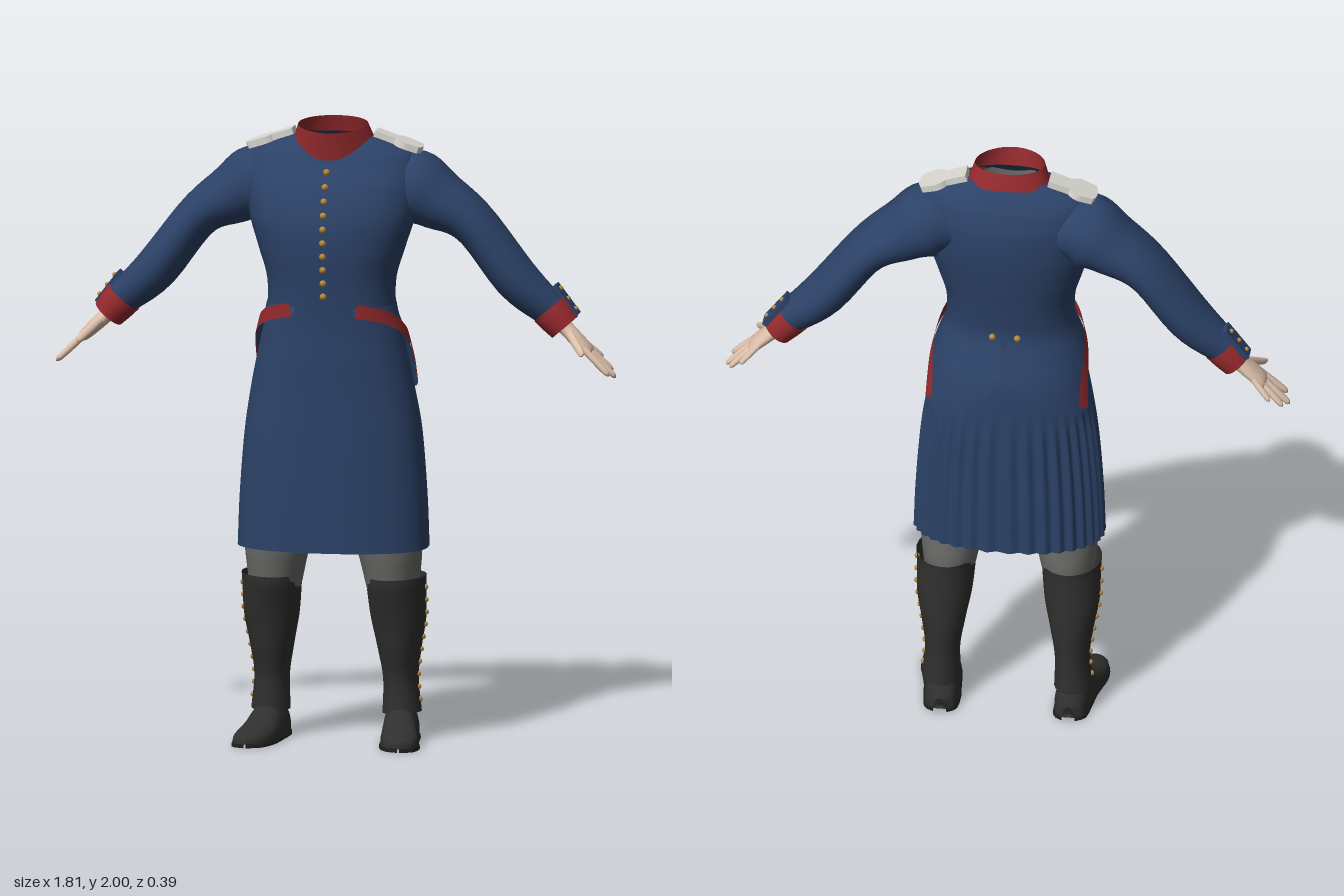
import * as THREE from 'three';
import { mergeVertices } from 'three/addons/utils/BufferGeometryUtils.js';
import { ParametricGeometry } from 'three/addons/geometries/ParametricGeometry.js';

const PI = Math.PI;
const paint = (name, color, side = THREE.FrontSide) => {
  const m = new THREE.MeshStandardMaterial({ color, side });
  m.name = name;
  return m;
};

// Smooth interpolation of column c in rows whose first column is the parameter
function sample(rows, t, c) {
  const n = rows.length - 1;
  if (t <= rows[0][0]) return rows[0][c];
  if (t >= rows[n][0]) return rows[n][c];
  let i = 0;
  while (t > rows[i + 1][0]) i++;
  const slope = (k) => {
    const a = rows[Math.max(0, k - 1)], b = rows[Math.min(n, k + 1)];
    return (b[c] - a[c]) / (b[0] - a[0]);
  };
  const h = rows[i + 1][0] - rows[i][0], s = (t - rows[i][0]) / h, s2 = s * s, s3 = s2 * s;
  return (2 * s3 - 3 * s2 + 1) * rows[i][c] + (s3 - 2 * s2 + s) * h * slope(i)
    + (3 * s2 - 2 * s3) * rows[i + 1][c] + (s3 - s2) * h * slope(i + 1);
}

// Tube with elliptical rings; keys are [x, y, z, radius in the xy plane, radius along z]
function limb(keys, sides = 24, stacks = keys.length * 4) {
  const rows = keys.map((k, i) => [i, ...k]), n = keys.length - 1;
  return new ParametricGeometry((u, v, p) => {
    const t = v * n, at = (c, d = 0) => sample(rows, t + d, c);
    const tx = at(1, 0.01) - at(1, -0.01), ty = at(2, 0.01) - at(2, -0.01), l = Math.hypot(tx, ty) || 1;
    const a = u * 2 * PI, r = at(4) * Math.cos(a);
    p.set(at(1) - (ty / l) * r, at(2) + (tx / l) * r, at(3) + at(5) * Math.sin(a));
  }, sides, stacks);
}

// Coat body: [y, half width, front z, back z]
const BODY = [
  [0.63, 0.305, 0.17, -0.185], [0.8, 0.298, 0.17, -0.185], [1.0, 0.282, 0.168, -0.183],
  [1.15, 0.26, 0.165, -0.178], [1.25, 0.24, 0.165, -0.17], [1.33, 0.222, 0.163, -0.15],
  [1.4, 0.206, 0.165, -0.135], [1.5, 0.206, 0.172, -0.145], [1.6, 0.235, 0.18, -0.16],
  [1.7, 0.265, 0.174, -0.172], [1.8, 0.275, 0.14, -0.172], [1.87, 0.268, 0.095, -0.155],
  [1.9, 0.25, 0.078, -0.14], [1.925, 0.2, 0.06, -0.125], [1.95, 0.13, 0.035, -0.1],
];
// Point on the coat: angle 0 is the front, PI / 2 its left, PI the back
function onCoat(t, y, off, p) {
  const w = sample(BODY, y, 1), f = sample(BODY, y, 2), b = sample(BODY, y, 3);
  const s = Math.sin(t), c = Math.cos(t), e = 2 / 2.3;
  return p.set(Math.sign(s) * Math.abs(s) ** e * w + s * off, y,
    (f + b) / 2 + Math.sign(c) * Math.abs(c) ** e * (f - b) / 2 + c * off);
}
const coatPart = (y0, y1, slices, stacks, off = () => 0) => new ParametricGeometry((u, v, p) => {
  const y = y0 + (y1 - y0) * v;
  onCoat(u * 2 * PI, y, off(u * 2 * PI, y), p);
}, slices, stacks);

// Ribbon lying on the coat along [angle, y] points
function ribbon(path, width, off, segments = 24) {
  const rows = path.map((k, i) => [i, ...k]), n = path.length - 1;
  return new ParametricGeometry((u, v, p) => {
    const at = (c, d = 0) => sample(rows, u * n + d, c);
    const dt = (at(1, 0.01) - at(1, -0.01)) * 0.22, dy = at(2, 0.01) - at(2, -0.01);
    const l = Math.hypot(dt, dy), k = v * width / l;
    onCoat(at(1) - dy * k / 0.22, at(2) + dt * k, off, p);
  }, segments, 2);
}

function mirrored(geometry) {
  const g = geometry.index ? geometry.clone() : mergeVertices(geometry);
  g.scale(-1, 1, 1);
  const a = g.index.array;
  for (let i = 0; i < a.length; i += 3) [a[i], a[i + 1]] = [a[i + 1], a[i]];
  return g;
}

export function createModel() {
  const model = new THREE.Group();
  model.name = 'uniform';
  const D = THREE.DoubleSide;
  const navy = paint('navy cloth', 0x2c4268, D), red = paint('red trim', 0x962a2d, D);
  const gold = paint('brass', 0xb48a3c), skin = paint('skin', 0xdcc0aa), white = paint('white braid', 0xd8d8d0);
  const black = paint('black leather', 0x30302f, D), sole = paint('sole', 0x1f1f1e), grey = paint('grey cloth', 0x6b6d69, D);

  const add = (name, geometry, material) => {
    const m = new THREE.Mesh(geometry, material);
    m.name = name;
    model.add(m);
  };
  const pair = (name, geometry, material) => {
    add(name + 'Left', geometry, material);
    add(name + 'Right', mirrored(geometry), material);
  };
  const button = (x, y, z, r = 0.011) => new THREE.SphereGeometry(r, 10, 6).translate(x, y, z);

  // Coat and skirt, pleated from the sides to the back
  add('coat', coatPart(1.15, 1.95, 64, 48), navy);
  add('skirt', coatPart(0.63, 1.16, 288, 20, (t, y) => {
    const back = THREE.MathUtils.smoothstep(-Math.cos(t), -0.1, 0.25);
    return 0.005 * back * Math.sin(t * 36) * THREE.MathUtils.smoothstep(1.16 - y, 0, 0.15);
  }), navy);

  // Jacket tails with a red edge
  const edge = [[0.42, 1.392], [0.9, 1.37], [1.3, 1.335], [1.6, 1.285], [1.85, 1.215], [1.98, 1.14]];
  const hem = [...edge, [2.5, 1.15], [2.9, 1.19], [PI, 1.29]];
  add('jacketTails', new ParametricGeometry((u, v, p) => {
    const t = 0.42 + u * (2 * PI - 0.84);
    const low = sample(hem, Math.min(t, 2 * PI - t), 1);
    onCoat(t, low + (1.42 - low) * v, 0.016 - 0.014 * v, p);
  }, 96, 12), navy);
  pair('redEdge', ribbon(edge, 0.045, 0.019), red);
  pair('pocketFold', ribbon([[0.98, 1.06], [0.98, 0.96], [0.98, 0.86]], 0.012, 0.005, 6), navy);
  add('backVent', ribbon([[PI - 0.03, 1.4], [PI - 0.03, 1.32], [PI - 0.03, 1.24]], 0.013, 0.02, 8), navy);

  // Buttons on the chest and the back of the waist
  const p = new THREE.Vector3();
  for (let i = 0; i < 10; i++) {
    onCoat(0, 1.85 - i * 0.0435, 0.002, p);
    add('chestButton', button(p.x, p.y, p.z), gold);
  }
  onCoat(PI - 0.15, 1.41, 0.006, p);
  pair('backButton', button(p.x, p.y, p.z), gold);

  // Collar, narrower at the front and leaning forward, and the lining below it
  add('collar', new ParametricGeometry((u, v, q) => {
    const t = u * 2 * PI, c = Math.cos(t), f = (1 + c) / 2;
    const w = (0.137 - 0.026 * v) * (1 - 0.12 * c);
    const front = 0.088 + 0.017 * v, back = -0.118 + 0.016 * v;
    const y = (1 - v) * (1.945 - 0.06 * f) + v * (2 - 0.025 * f);
    q.set(w * Math.sin(t), y, (front + back) / 2 + c * (front - back) / 2);
  }, 40, 4), red);
  add('neckLining', limb([[0, 1.55, -0.01, 0.005, 0.005], [0, 1.6, -0.01, 0.08, 0.07],
    [0, 1.75, -0.01, 0.1, 0.08], [0, 1.925, -0.01, 0.108, 0.085]]), grey);

  // Shoulder straps, wider at the outer end
  const strap = new THREE.Shape();
  strap.moveTo(0, -0.032);
  strap.lineTo(0.07, -0.03);
  strap.quadraticCurveTo(0.085, -0.05, 0.11, -0.048);
  strap.lineTo(0.15, -0.04);
  strap.quadraticCurveTo(0.17, 0, 0.15, 0.04);
  strap.lineTo(0.11, 0.048);
  strap.quadraticCurveTo(0.085, 0.05, 0.07, 0.03);
  strap.lineTo(0, 0.032);
  pair('shoulderStrap', new THREE.ExtrudeGeometry(strap, { depth: 0.022, bevelEnabled: false })
    .rotateX(-PI / 2).rotateZ(-0.33).translate(0.128, 1.948, -0.045), white);

  // Sleeves and cuffs
  pair('sleeve', limb([[0.17, 1.79, -0.06, 0.08, 0.09], [0.25, 1.785, -0.055, 0.12, 0.122],
    [0.33, 1.745, -0.06, 0.098, 0.118], [0.445, 1.67, -0.068, 0.071, 0.11],
    [0.585, 1.492, -0.07, 0.07, 0.095], [0.7, 1.39, -0.075, 0.055, 0.058]], 32), navy);
  pair('cuff', limb([[0.687, 1.402, -0.075, 0.063, 0.066], [0.712, 1.373, -0.075, 0.059, 0.065],
    [0.738, 1.343, -0.075, 0.053, 0.061]]), red);
  const onFlap = (g) => g.rotateZ(-0.92).translate(0.738, 1.428, -0.092);
  pair('cuffFlap', onFlap(new THREE.BoxGeometry(0.12, 0.016, 0.058)), navy);
  for (const s of [-0.04, 0, 0.04]) pair('cuffButton', onFlap(button(s, 0.009, 0, 0.008)), gold);

  // Hands with spread fingers
  pair('palm', limb([[0.715, 1.368, -0.072, 0.026, 0.036], [0.745, 1.338, -0.07, 0.024, 0.034],
    [0.78, 1.305, -0.062, 0.022, 0.046], [0.815, 1.272, -0.062, 0.017, 0.046],
    [0.828, 1.26, -0.062, 0.004, 0.03]]), skin);
  const fingers = [
    ['littleFinger', 0.79, -0.1, 0.85, -0.137, 0.01], ['ringFinger', 0.8, -0.078, 0.888, -0.103, 0.011],
    ['middleFinger', 0.805, -0.054, 0.905, -0.06, 0.0115], ['indexFinger', 0.8, -0.03, 0.892, -0.012, 0.0115],
    ['thumb', 0.755, -0.045, 0.818, 0.048, 0.014],
  ];
  for (const [name, x0, z0, x1, z1, r] of fingers) {
    const keys = [[0, 1], [0.5, 1], [0.9, 0.8], [1, 0.05]].map(([s, k]) => {
      const x = x0 + (x1 - x0) * s;
      return [x, 1.288 - (x - 0.8) * 0.96, z0 + (z1 - z0) * s, r * k, r * k * 1.15];
    });
    pair(name, limb(keys, 10, 10), skin);
  }

  // Trousers and tall buttoned gaiters
  pair('trouserLeg', limb([[0.192, 0.45, -0.03, 0.075, 0.09], [0.188, 0.54, -0.026, 0.09, 0.108],
    [0.18, 0.65, -0.015, 0.106, 0.118], [0.155, 0.85, -0.01, 0.122, 0.13], [0.12, 1.05, -0.01, 0.1, 0.125]]), grey);
  const gaiter = [[0.212, 0.09, -0.07, 0.062, 0.078], [0.208, 0.2, -0.07, 0.056, 0.075],
    [0.206, 0.3, -0.06, 0.07, 0.09], [0.205, 0.4, -0.047, 0.088, 0.101],
    [0.201, 0.5, -0.03, 0.094, 0.115], [0.2, 0.535, -0.028, 0.097, 0.118]];
  pair('gaiter', limb(gaiter), black);
  const byHeight = gaiter.map(([x, y, z, r]) => [y, x + r, z]);
  for (let i = 0; i < 10; i++) {
    const y = 0.13 + i * 0.041;
    pair('gaiterButton', button(sample(byHeight, y, 1), y, sample(byHeight, y, 2), 0.009), gold);
  }

  // Shoes: [z, centre x, half width, height]
  const foot = [[-0.16, 0.206, 0.02, 0.05], [-0.14, 0.207, 0.046, 0.09], [-0.07, 0.21, 0.056, 0.125],
    [0, 0.217, 0.057, 0.11], [0.05, 0.225, 0.06, 0.08], [0.1, 0.234, 0.062, 0.062],
    [0.16, 0.243, 0.052, 0.048], [0.19, 0.247, 0.032, 0.038], [0.2, 0.248, 0.003, 0.025]];
  const shoe = (widen, low, high) => new ParametricGeometry((u, v, q) => {
    const z = -0.16 + 0.36 * v, a = u * 2 * PI, s = Math.sin(a);
    const h = Math.min(high, sample(foot, z, 3));
    q.set(sample(foot, z, 1) + sample(foot, z, 2) * widen * Math.cos(a),
      s > 0 ? low + (h - low) * s ** 0.7 : low, z);
  }, 28, 28);
  pair('shoe', shoe(1, 0.012, 1), black);
  pair('sole', shoe(1.07, 0, 0.026), sole);

  return model;
}
